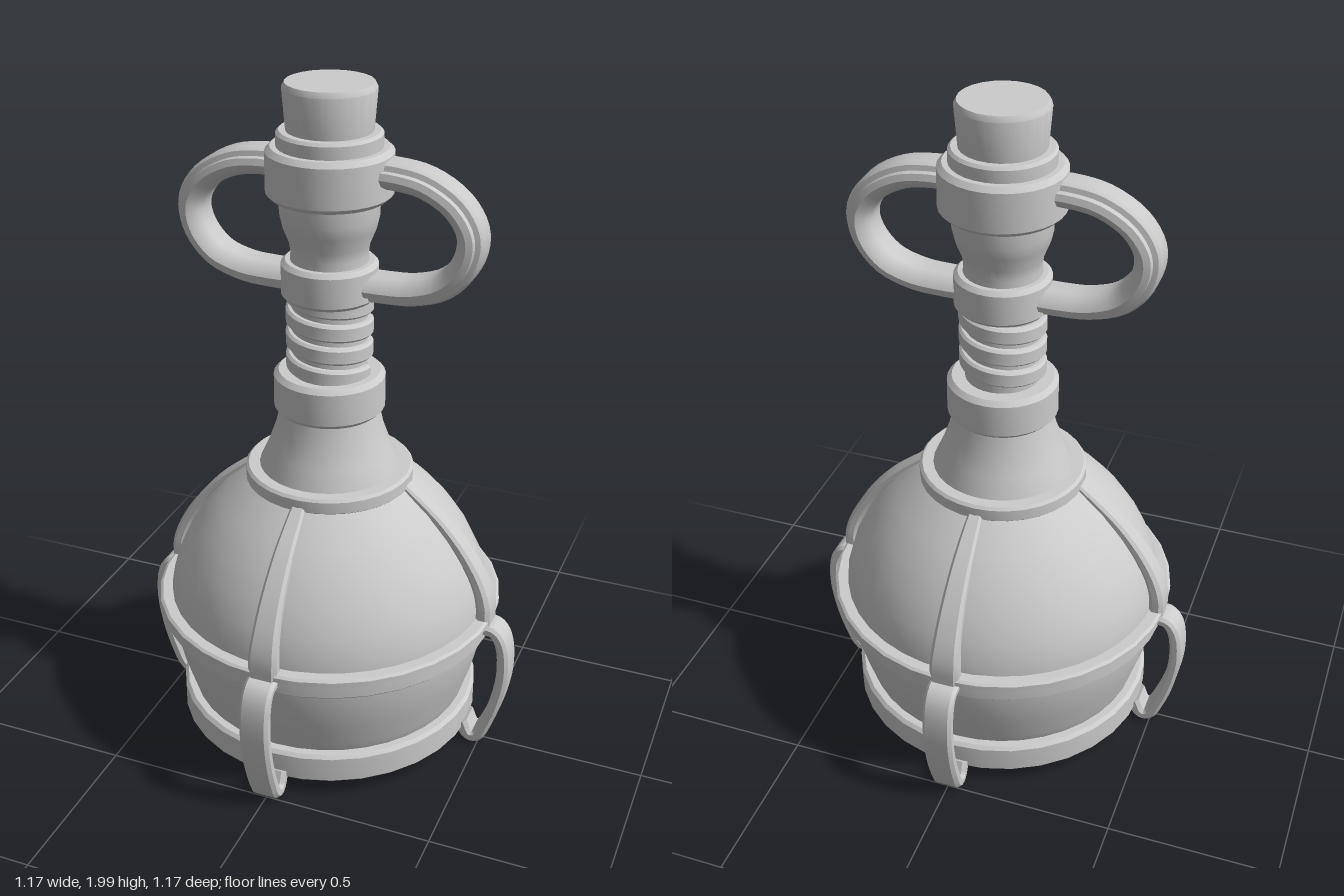
import * as THREE from 'three';
import { toCreasedNormals } from 'three/addons/utils/BufferGeometryUtils.js';

const material = new THREE.MeshStandardMaterial({ color: 0xcccccc });

function addMesh(parent, name, geometry, crease = 0.6) {
  const mesh = new THREE.Mesh(toCreasedNormals(geometry, crease), material);
  mesh.name = name;
  parent.add(mesh);
  return mesh;
}

// Turned part from [radius, y] points, listed bottom to top
function turned(parent, name, points, segments = 32) {
  const profile = points.map(([r, y]) => new THREE.Vector2(r, y));
  return addMesh(parent, name, new THREE.LatheGeometry(profile, segments));
}

// Ring profile with chamfered outer edges
function ringProfile(inner, outer, y0, y1, c) {
  return [[inner, y0], [outer - c, y0], [outer, y0 + c], [outer, y1 - c], [outer - c, y1], [inner, y1]];
}

// Skin a row of equal-sized closed loops and cap both ends
function loft(loops) {
  const n = loops[0].length, positions = [], index = [];
  loops.forEach(loop => loop.forEach(p => positions.push(p.x, p.y, p.z)));
  for (let i = 0; i < loops.length - 1; i++) {
    for (let j = 0; j < n; j++) {
      const a = i * n + j, b = i * n + (j + 1) % n;
      index.push(a, b, a + n, b, b + n, a + n);
    }
  }
  const last = (loops.length - 1) * n;
  for (let j = 1; j < n - 1; j++) {
    index.push(0, j + 1, j, last, last + j, last + j + 1);
  }
  // Make the faces point outward whichever way the loops run
  const at = k => new THREE.Vector3().fromArray(positions, index[k] * 3);
  let volume = 0;
  for (let k = 0; k < index.length; k += 3) volume += at(k).dot(at(k + 1).cross(at(k + 2)));
  if (volume < 0) index.reverse();
  const geometry = new THREE.BufferGeometry();
  geometry.setAttribute('position', new THREE.Float32BufferAttribute(positions, 3));
  geometry.setIndex(index);
  return geometry;
}

// Sweep a section along a path in the xy plane; section(t) gives [outward, z] points
function sweep(path, section, steps) {
  const curve = new THREE.CatmullRomCurve3(path.map(([x, y]) => new THREE.Vector3(x, y, 0)));
  const loops = [];
  for (let i = 0; i <= steps; i++) {
    const t = i / steps, p = curve.getPoint(t), d = curve.getTangent(t);
    loops.push(section(t).map(([u, w]) => new THREE.Vector3(p.x - d.y * u, p.y + d.x * u, w)));
  }
  return loft(loops);
}

// Flat strap section with bevelled corners; h = half thickness, w = half width
function strapSection(h, w) {
  const c = h * 0.55;
  return [[h, -w + c], [h, w - c], [h - c, w], [c - h, w], [-h, w - c], [-h, c - w], [c - h, -w], [h - c, -w]];
}

// Band winding down round the neck
function thread(turns, top, pitch) {
  const section = [[0.1, 0.027], [0.117, 0.025], [0.124, 0.018], [0.124, -0.018], [0.117, -0.025], [0.1, -0.027]];
  const steps = Math.round(turns * 32), loops = [];
  for (let i = 0; i <= steps; i++) {
    const a = i / steps * turns * Math.PI * 2 - Math.PI / 2;
    const y = top - pitch * turns * i / steps;
    loops.push(section.map(([r, dy]) => new THREE.Vector3(r * Math.sin(a), y + dy, r * Math.cos(a))));
  }
  return loft(loops);
}

export function createModel() {
  const model = new THREE.Group();
  model.name = 'bottle';

  // Round vessel with a slightly domed floor
  turned(model, 'vessel', [
    [0, 0.04], [0.2, 0.05], [0.36, 0.075], [0.415, 0.12], [0.43, 0.17], [0.455, 0.25], [0.473, 0.33],
    [0.482, 0.42], [0.477, 0.49], [0.458, 0.56], [0.425, 0.63], [0.38, 0.7], [0.32, 0.77], [0.25, 0.83], [0.2, 0.87],
  ], 40);

  // Rings round the vessel
  turned(model, 'baseRing', [
    [0.36, 0.1], [0.36, 0.055], [0.375, 0.05], [0.445, 0.05], [0.455, 0.06],
    [0.455, 0.135], [0.445, 0.145], [0.4, 0.145],
  ]);
  turned(model, 'waistRing', [
    [0.45, 0.39], [0.5, 0.39], [0.507, 0.397], [0.507, 0.437], [0.518, 0.442],
    [0.518, 0.455], [0.51, 0.461], [0.45, 0.461],
  ]);
  turned(model, 'shoulderRing', ringProfile(0.17, 0.246, 0.83, 0.88, 0.008));

  // Neck
  turned(model, 'neckCone', [[0.21, 0.86], [0.205, 0.88], [0.178, 0.94], [0.157, 1], [0.143, 1.06], [0.135, 1.1]]);
  turned(model, 'lowerNeckRing', ringProfile(0.09, 0.16, 1.055, 1.178, 0.014));
  turned(model, 'threadedNeck', [[0.108, 1.15], [0.108, 1.43]]);
  addMesh(model, 'neckThread', thread(3.5, 1.42, 0.068));
  turned(model, 'middleNeckRing', ringProfile(0.09, 0.136, 1.4, 1.51, 0.012));
  turned(model, 'upperNeck', [
    [0.112, 1.49], [0.108, 1.53], [0.112, 1.56], [0.13, 1.605], [0.138, 1.64], [0.138, 1.71],
  ]);
  turned(model, 'upperNeckRing', ringProfile(0.09, 0.175, 1.69, 1.83, 0.014));
  turned(model, 'lip', ringProfile(0.09, 0.145, 1.82, 1.873, 0.008));
  turned(model, 'stopper', [[0.117, 1.85], [0.128, 1.985], [0.12, 2], [0, 2]], 24);

  // Pair of loop handles with a raised outer band
  const handlePath = [[0.1, 1.772], [0.2, 1.772], [0.28, 1.757], [0.36, 1.71], [0.402, 1.65],
    [0.408, 1.6], [0.388, 1.54], [0.335, 1.483], [0.25, 1.453], [0.17, 1.447], [0.09, 1.447]];
  const half = [[0.038, 0.026], [0.03, 0.04], [0.016, 0.044], [0.014, 0.06], [-0.004, 0.066], [-0.024, 0.055], [-0.038, 0.03]];
  const handleSection = [...half, ...half.map(([u, w]) => [u, -w]).reverse()];
  for (const turn of [0, Math.PI]) {
    const handle = addMesh(model, turn ? 'rightHandle' : 'leftHandle', sweep(handlePath, () => handleSection, 36));
    handle.rotation.y = turn;
  }

  // Four shoulder straps, each above a curved foot
  const strapPath = [[0.225, 0.85], [0.275, 0.81], [0.35, 0.745], [0.425, 0.655], [0.476, 0.565], [0.495, 0.5], [0.495, 0.44]];
  const footPath = [[0.49, 0.425], [0.53, 0.42], [0.555, 0.385], [0.566, 0.29], [0.553, 0.19], [0.525, 0.095],
    [0.493, 0.03], [0.468, 0.03], [0.446, 0.075]];
  for (let i = 0; i < 4; i++) {
    const side = new THREE.Group();
    side.name = 'strapAndFoot';
    side.rotation.y = i * Math.PI / 2;
    addMesh(side, 'shoulderStrap', sweep(strapPath,
      t => strapSection(0.011 + 0.012 * t, 0.02 + 0.024 * Math.min(1, t * 1.2)), 20));
    addMesh(side, 'foot', sweep(footPath, t => strapSection(0.016 + 0.004 * t, 0.044), 28));
    model.add(side);
  }

  return model;
}
